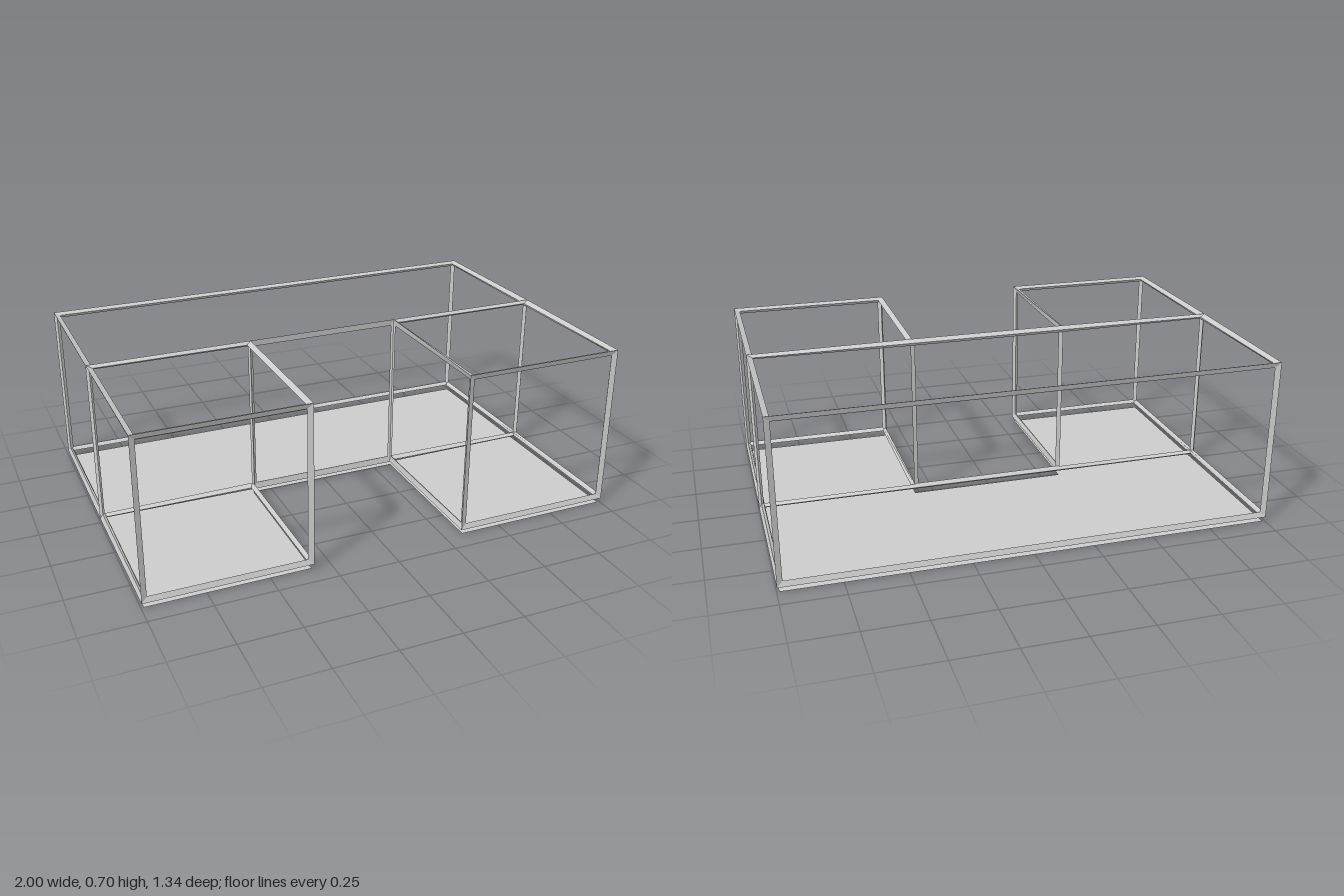
import * as THREE from 'three';

const X1 = 0.99, X2 = 0.33, Z = 0.66; // outer side, inner side, depth of each bay
const LOW = 0.03, HIGH = 0.69;        // centre lines of the lower and upper bars
const T = 0.0145;                     // half thickness of a bar

// Plan corners of the U shape: 0-3 along the middle, 4-5 back, 6-9 leg fronts
const PLAN = [
  [-X1, 0], [-X2, 0], [X2, 0], [X1, 0], [X1, -Z], [-X1, -Z],
  [-X1, Z], [-X2, Z], [X2, Z], [X1, Z],
];
// Bays as counter-clockwise loops seen from above
const BAYS = [[0, 1, 2, 3, 4, 5], [6, 7, 1, 0], [8, 9, 3, 2]];
// Outline of the whole plan, walked the same way round
const OUTLINE = [6, 7, 1, 2, 8, 9, 3, 4, 5, 0];

// Panels between the bars, each a loop of points seen from outside
function framePanels() {
  const n = PLAN.length;
  const points = [LOW, HIGH].flatMap(y => PLAN.map(([x, z]) => new THREE.Vector3(x, y, z)));
  const panels = [];
  for (const bay of BAYS) {
    panels.push(bay.map(i => i + n));
    panels.push([...bay].reverse());
  }
  OUTLINE.forEach((a, k) => {
    const b = OUTLINE[(k + 1) % OUTLINE.length];
    panels.push([a, b, b + n, a + n]);
  });
  return { points, panels };
}

// Diamond-section bars along every panel edge, with mitred corners
function frameGeometry() {
  const { points, panels } = framePanels();
  const normals = points.map(() => new THREE.Vector3());

  const corners = panels.map(loop => {
    const m = loop.length;
    const at = k => points[loop[(k + m) % m]];
    const info = loop.map((id, k) => ({
      id,
      next: at(k + 1).clone().sub(at(k)).normalize(),
      prev: at(k - 1).clone().sub(at(k)).normalize(),
    }));
    const up = new THREE.Vector3();
    info.forEach(c => up.add(c.next.clone().cross(c.prev)));
    up.normalize();
    for (const c of info) {
      // Angle-weighted direction of each joint
      normals[c.id].addScaledVector(up, c.next.angleTo(c.prev));
      // Inset corner: square corners move along both edges, straight ones sideways
      c.inset = points[c.id].clone();
      if (c.next.dot(c.prev) < -0.5) c.inset.addScaledVector(up.clone().cross(c.next), T);
      else c.inset.addScaledVector(c.next, T).addScaledVector(c.prev, T);
    }
    return info;
  });
  normals.forEach(v => v.normalize());

  const position = [];
  const quad = (a, b, c, d) => [a, b, c, a, c, d].forEach(p => position.push(p.x, p.y, p.z));
  const ridge = (id, s) => points[id].clone().addScaledVector(normals[id], s * T);
  for (const info of corners) {
    info.forEach((a, k) => {
      const b = info[(k + 1) % info.length];
      quad(ridge(a.id, 1), ridge(b.id, 1), b.inset, a.inset);   // outside slope
      quad(ridge(b.id, -1), ridge(a.id, -1), a.inset, b.inset); // inside slope
    });
  }
  const geometry = new THREE.BufferGeometry();
  geometry.setAttribute('position', new THREE.Float32BufferAttribute(position, 3));
  geometry.computeVertexNormals();
  return geometry;
}

export function createModel() {
  const group = new THREE.Group();
  group.name = 'openFrameBuilding';
  const grey = new THREE.MeshStandardMaterial({ color: 0xcccccc, side: THREE.DoubleSide });
  grey.name = 'lightGrey';

  const frame = new THREE.Mesh(frameGeometry(), grey);
  frame.name = 'frame';
  group.add(frame);

  // U-shaped floor sheet under the frame
  const shape = new THREE.Shape(OUTLINE.map(i => new THREE.Vector2(PLAN[i][0], -PLAN[i][1])));
  const floor = new THREE.Mesh(new THREE.ShapeGeometry(shape).rotateX(-Math.PI / 2), grey);
  floor.name = 'floor';
  group.add(floor);

  return group;
}
